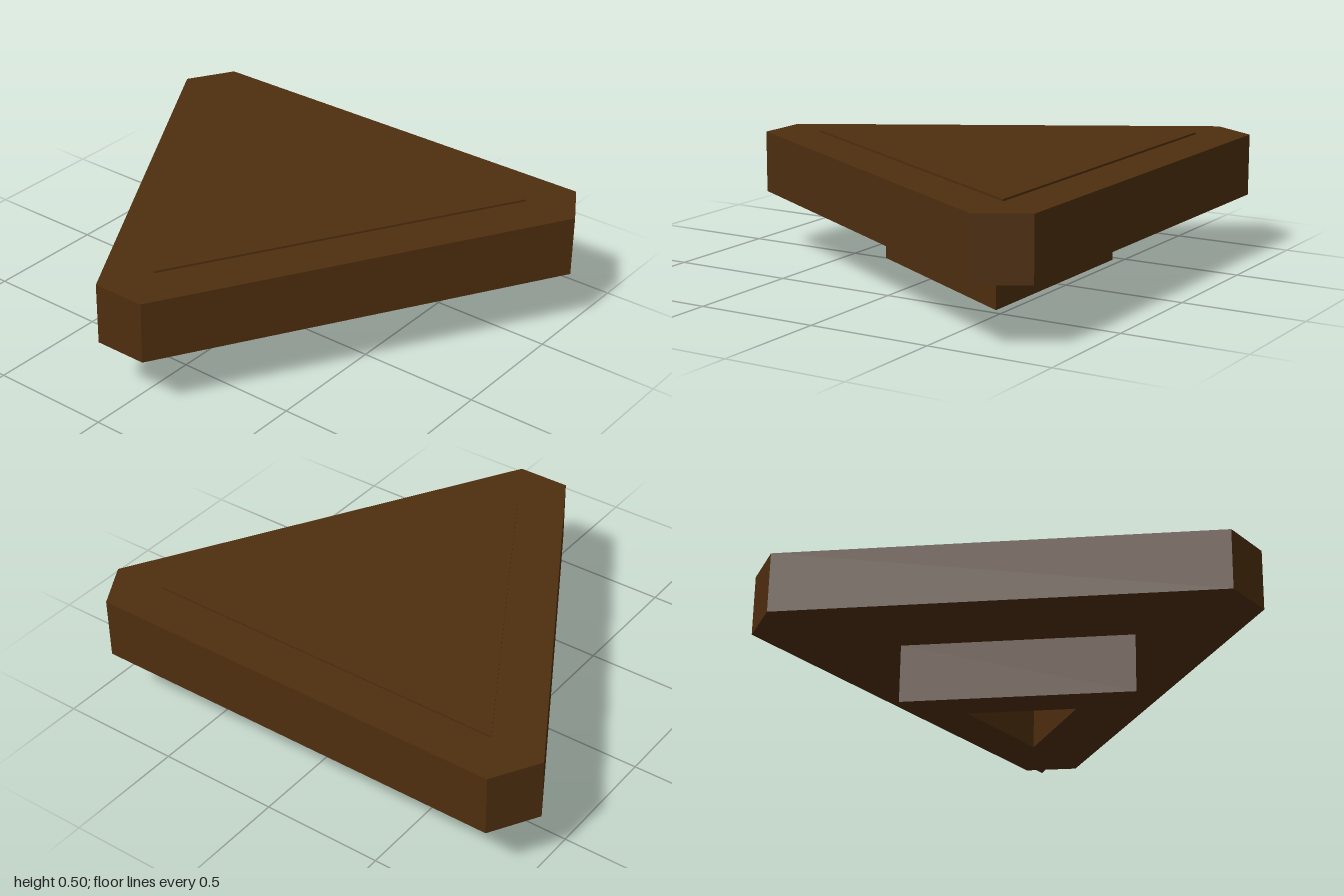
import * as THREE from 'three';

// Equilateral triangle with one corner pointing to +z
function triangle(radius, centreZ) {
  return [90, 210, 330].map((deg) => {
    const a = THREE.MathUtils.degToRad(deg);
    return new THREE.Vector2(radius * Math.cos(a), centreZ + radius * Math.sin(a));
  });
}

// Upright prism from an outline in (x, z), with an optional hole
function prism(name, outline, bottom, top, material, hole) {
  const shape = new THREE.Shape(outline);
  if (hole) shape.holes.push(new THREE.Path(hole));
  const geometry = new THREE.ExtrudeGeometry(shape, { depth: top - bottom, bevelEnabled: false });
  geometry.rotateX(Math.PI / 2);
  geometry.translate(0, top, 0);
  const mesh = new THREE.Mesh(geometry, material);
  mesh.name = name;
  return mesh;
}

export function createModel() {
  const model = new THREE.Group();
  model.name = 'triangularPedestal';
  const brown = new THREE.MeshStandardMaterial({ color: 0x4e2e0f });
  brown.name = 'darkBrown';

  // Triangular slab with its corners cut off
  const half = [[0.11, 0.865], [1, -0.675], [0.888, -0.865]];
  const slab = [...half, ...half.map(([x, z]) => [-x, z]).reverse()]
    .map(([x, z]) => new THREE.Vector2(x, z));
  model.add(prism('slab', slab, 0.243, 0.495, brown));

  // Slightly raised panel on top
  model.add(prism('topPanel', triangle(0.895, -0.225), 0.49, 0.503, brown));

  // Hollow triangular foot
  model.add(prism('foot', triangle(0.537, -0.192), 0, 0.243, brown, triangle(0.25, -0.192)));

  return model;
}
